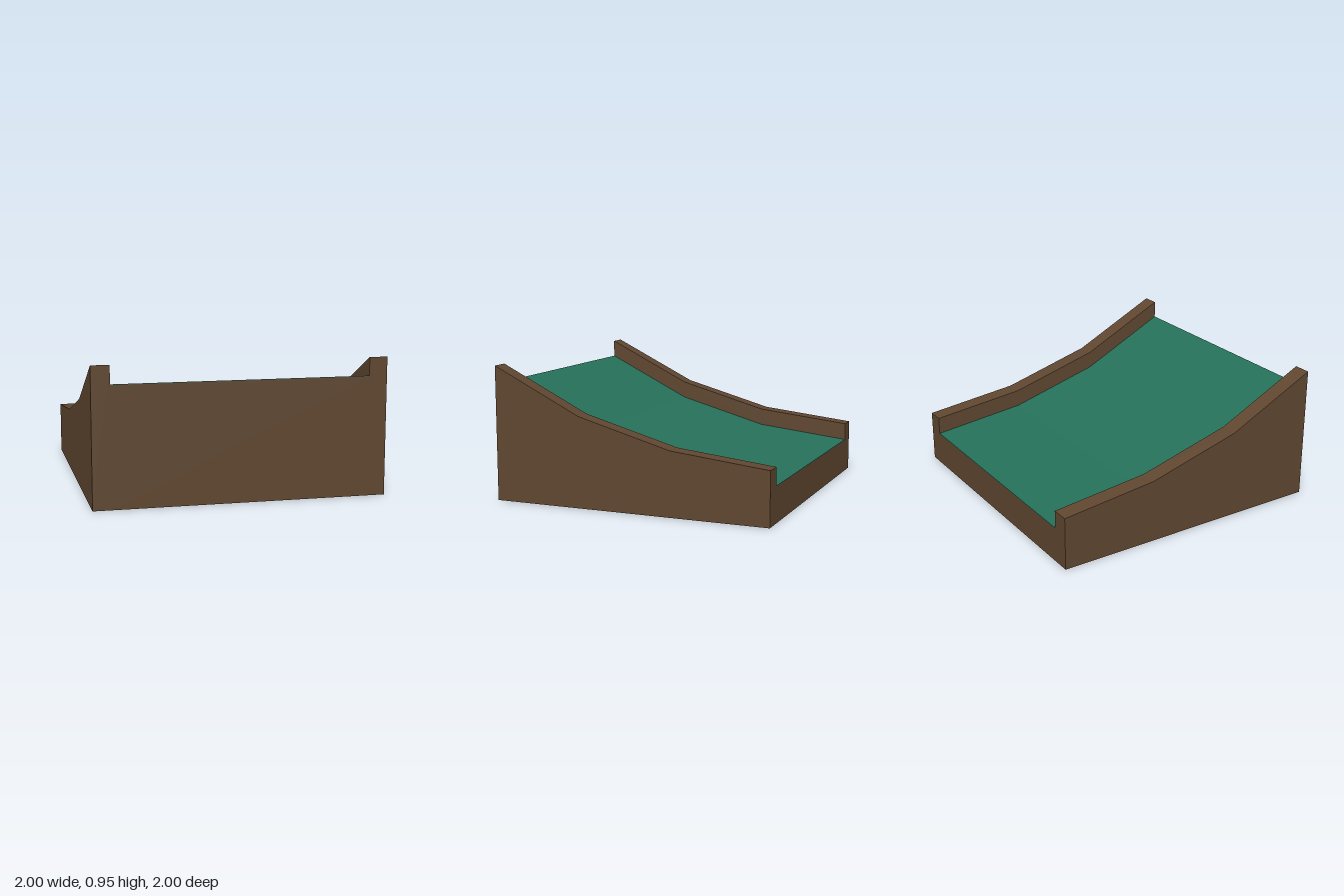
import * as THREE from 'three';

// Side profile of the ramp's rails as [z, y], front to back
const PROFILE = [[1, 0.95], [0.36, 0.635], [-0.31, 0.45], [-1, 0.375]];
const RAIL_WIDTH = 0.125;
const RAIL_HEIGHT = 0.125;
const DECK_THICKNESS = 0.004;

// Extrude a closed [z, y] outline across x, centred on x = 0
function extrudeAcross(points, width) {
  const shape = new THREE.Shape(points.map(([z, y]) => new THREE.Vector2(z, y)));
  const geometry = new THREE.ExtrudeGeometry(shape, { depth: width, bevelEnabled: false });
  geometry.translate(0, 0, -width / 2);
  geometry.rotateY(-Math.PI / 2);
  return geometry;
}

const lowered = (drop) => PROFILE.map(([z, y]) => [z, y - drop]);
const solidBelow = (drop) => [[-1, 0], [1, 0], ...lowered(drop)];

export function createModel() {
  const group = new THREE.Group();
  group.name = 'ramp';

  const brown = new THREE.MeshStandardMaterial({ color: 0x5f4630 });
  brown.name = 'brown';
  const green = new THREE.MeshStandardMaterial({ color: 0x26705a });
  green.name = 'green';

  const add = (name, geometry, material, x = 0) => {
    const mesh = new THREE.Mesh(geometry, material);
    mesh.name = name;
    mesh.position.x = x;
    group.add(mesh);
  };

  const deckWidth = 2 - 2 * RAIL_WIDTH;

  // Solid body under the sloping deck
  add('base', extrudeAcross(solidBelow(RAIL_HEIGHT + DECK_THICKNESS), deckWidth), brown);

  // Thin green covering following the slope
  const deckOutline = [
    ...lowered(RAIL_HEIGHT),
    ...lowered(RAIL_HEIGHT + DECK_THICKNESS).reverse(),
  ];
  add('deck', extrudeAcross(deckOutline, deckWidth), green);

  // Raised side walls
  const rail = extrudeAcross(solidBelow(0), RAIL_WIDTH);
  const railX = 1 - RAIL_WIDTH / 2;
  add('leftRail', rail, brown, railX);
  add('rightRail', rail, brown, -railX);

  return group;
}
